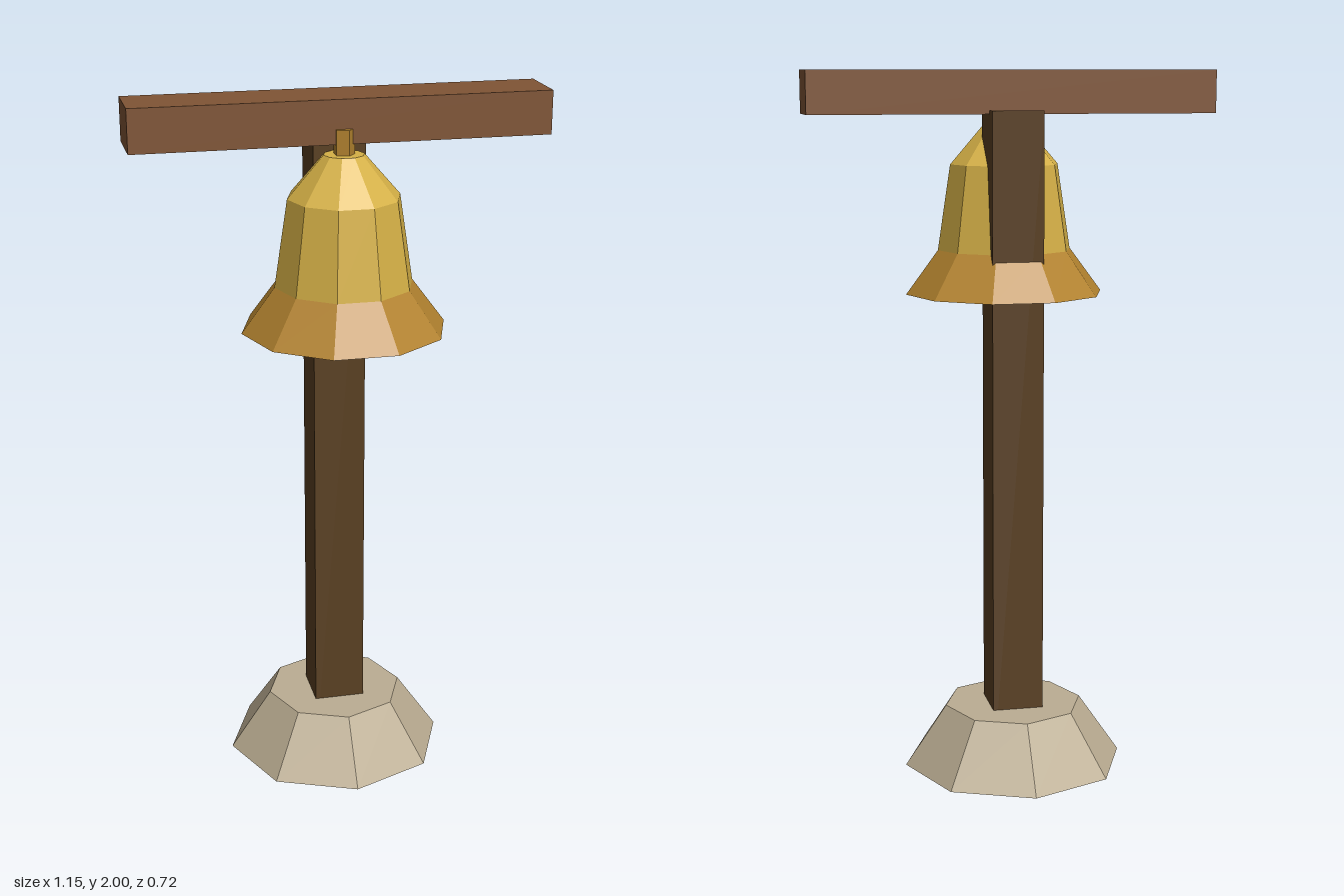
import * as THREE from 'three';

const mat = (name, color) => {
  const m = new THREE.MeshStandardMaterial({ color, flatShading: true });
  m.name = name;
  return m;
};

export function createModel() {
  const model = new THREE.Group();
  model.name = 'bellPost';

  const stone = mat('stone', 0xbcae93);
  const darkWood = mat('darkWood', 0x5a4022);
  const wood = mat('wood', 0x805535);
  const gold = mat('gold', 0xd6b147);
  const bronze = mat('bronze', 0xb3832f);
  const iron = mat('iron', 0x2a2b30);

  const add = (parent, name, geometry, material, x, y, z) => {
    const mesh = new THREE.Mesh(geometry, material);
    mesh.name = name;
    mesh.position.set(x, y, z);
    parent.add(mesh);
    return mesh;
  };

  // Stone footing, post and cross beam
  const postZ = -0.037;
  add(model, 'stoneBase', new THREE.CylinderGeometry(0.2, 0.32, 0.175, 8), stone, 0, 0.0875, postZ);
  add(model, 'post', new THREE.BoxGeometry(0.146, 1.888, 0.146), darkWood, 0, 0.946, postZ);
  add(model, 'beam', new THREE.BoxGeometry(1.15, 0.12, 0.171), wood, 0, 1.94, 0.0125);

  // Ten-sided bell, flat faces to front and back
  const bell = new THREE.Group();
  bell.name = 'bell';
  bell.position.z = 0.087;
  model.add(bell);
  const section = (name, y0, r0, y1, r1, material) =>
    add(bell, name, new THREE.CylinderGeometry(r1, r0, y1 - y0, 10, 1, false, Math.PI / 10),
      material, 0, (y0 + y1) / 2, 0);
  section('bellRim', 1.37, 0.286, 1.495, 0.193, bronze);
  section('bellBody', 1.495, 0.193, 1.737, 0.156, gold);
  section('bellShoulder', 1.737, 0.156, 1.852, 0.056, gold);

  // Hanger peg into the beam, and clapper
  add(bell, 'hanger', new THREE.CylinderGeometry(0.03, 0.03, 0.075, 5, 1, false, 0.3), bronze, 0, 1.883, 0);
  add(bell, 'clapper', new THREE.SphereGeometry(0.044, 8, 6), iron, 0, 1.352, 0);

  return model;
}
